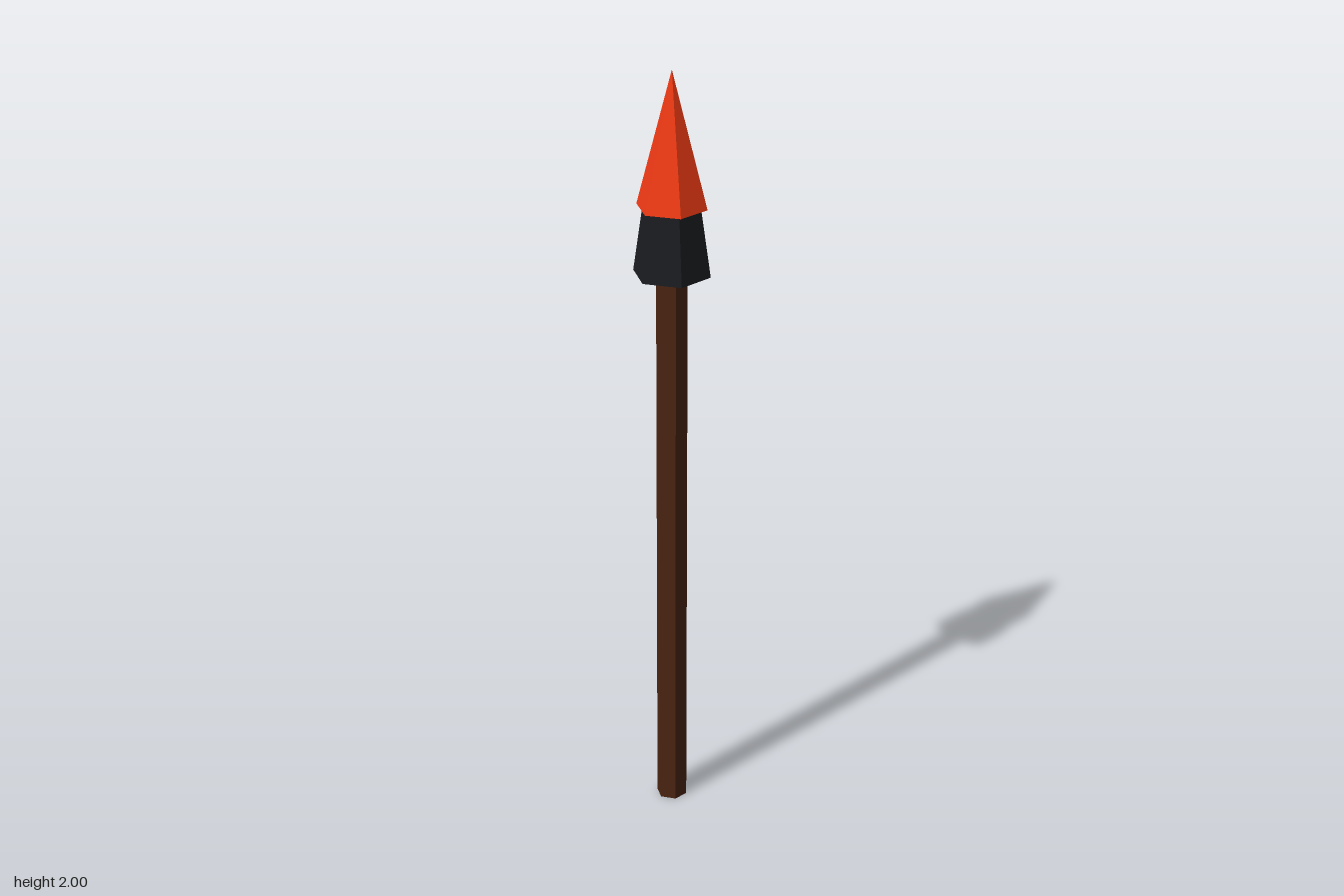
import * as THREE from 'three';

// Six-sided tapered section standing between two heights, with a corner facing +z
function hexSection(name, topRadius, bottomRadius, y0, y1, color) {
  const geometry = new THREE.CylinderGeometry(topRadius, bottomRadius, y1 - y0, 6);
  geometry.translate(0, (y0 + y1) / 2, 0);
  const material = new THREE.MeshStandardMaterial({ color, flatShading: true });
  const mesh = new THREE.Mesh(geometry, material);
  mesh.name = name;
  return mesh;
}

export function createModel() {
  const spear = new THREE.Group();
  spear.name = 'spear';
  spear.add(
    // Long wooden pole
    hexSection('shaft', 0.04, 0.04, 0, 1.49, 0x4a2412),
    // Dark socket flaring downward
    hexSection('collar', 0.073, 0.098, 1.487, 1.66, 0x1a1c20),
    // Pointed red head, overhanging the socket
    hexSection('tip', 0, 0.089, 1.659, 2, 0xf03a14),
  );
  return spear;
}
